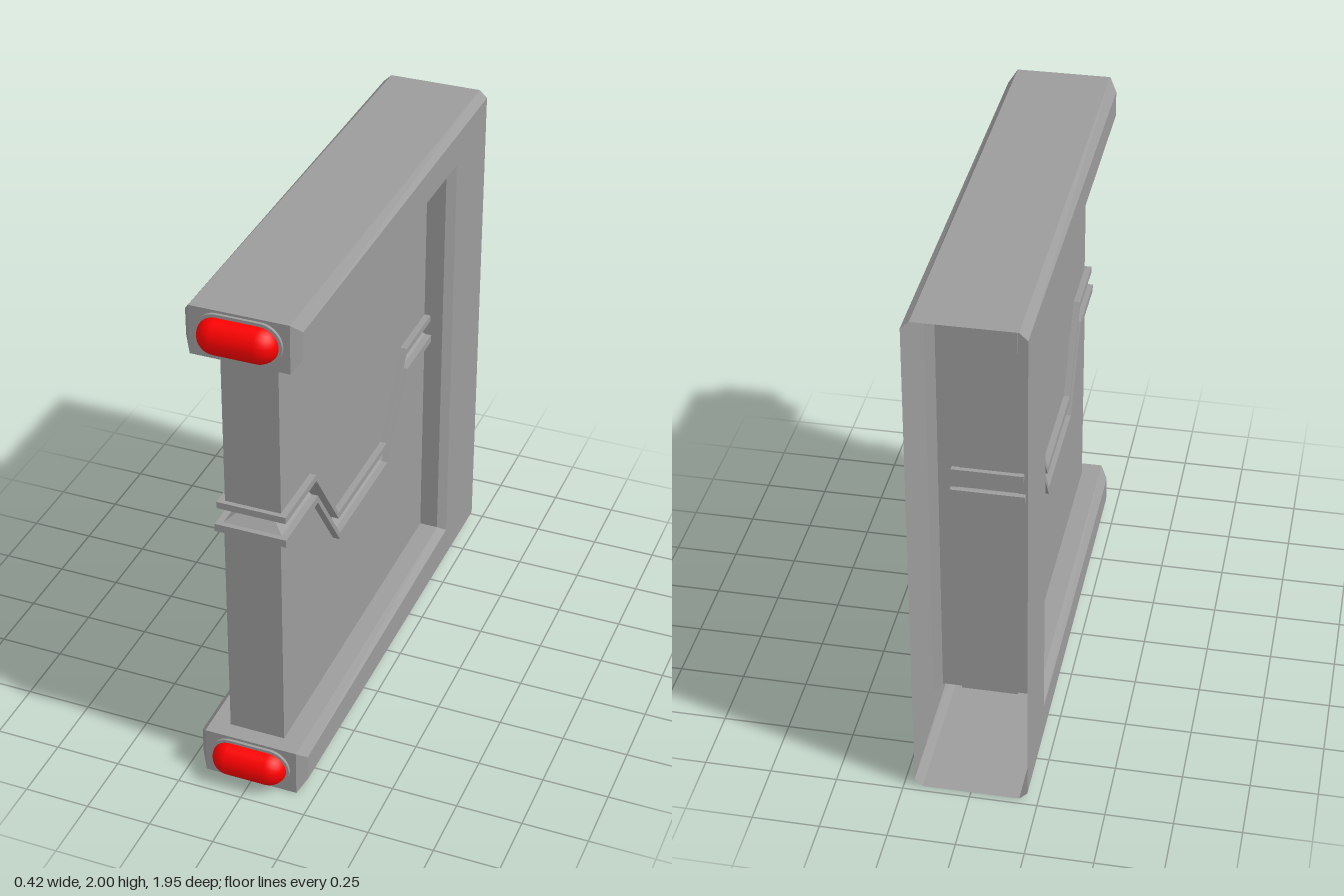
import * as THREE from 'three';

const GREY = 0x9c9c9c;

// Flat-shaded mesh from a list of triangle corners
function facetMesh(name, points) {
  const geo = new THREE.BufferGeometry().setFromPoints(points);
  geo.computeVertexNormals();
  const mesh = new THREE.Mesh(geo,
    new THREE.MeshStandardMaterial({ color: GREY, flatShading: true, side: THREE.DoubleSide }));
  mesh.name = name;
  return mesh;
}

// Joins successive rings of equal length with quads; closed rings wrap around
function skin(rings, closed) {
  const out = [];
  for (let r = 0; r + 1 < rings.length; r++) {
    const lo = rings[r], hi = rings[r + 1], n = lo.length;
    for (let i = 0; i < (closed ? n : n - 1); i++) {
      const j = (i + 1) % n;
      out.push(lo[i], lo[j], hi[j], lo[i], hi[j], hi[i]);
    }
  }
  return out;
}

// C-shaped hollow frame, bevelled along its sides and open at the back
function makeFrame() {
  // [-z, y] outlines: full at the bevel's inner edge, inset on the side faces
  const full = [[0.975, 2], [-0.902, 2], [-0.902, 1.815], [0.61, 1.815],
    [0.61, 0.187], [-0.902, 0.187], [-0.902, 0], [0.975, 0]];
  const inset = [[0.975, 1.972], [-0.862, 1.96], [-0.862, 1.858], [0.64, 1.845],
    [0.64, 0.161], [-0.862, 0.15], [-0.862, 0.045], [0.975, 0.03]];
  const ring = (outline, x) => outline.map(([u, y]) => new THREE.Vector3(x, y, -u));
  const rings = [ring(inset, -0.21), ring(full, -0.18), ring(full, 0.18), ring(inset, 0.21)];
  const points = skin(rings, false);
  const faces = THREE.ShapeUtils.triangulateShape(inset.map(([u, y]) => new THREE.Vector2(u, y)), []);
  for (const [a, b, c] of faces) {
    points.push(rings[3][a], rings[3][b], rings[3][c]);
    points.push(rings[0][a], rings[0][c], rings[0][b]);
  }
  return facetMesh('frame', points);
}

// Dip followed by the split between the two door panels: inner [z, drop]
const DIP = [[0.565, 0], [0.355, 0.303], [-0.137, 0.303], [-0.343, 0]];

// Horizontal ring around the door; dip = 1 follows the split, 0 stays level
function doorRing([y, halfX, front, back, dip]) {
  const path = [[front, 0], ...DIP, [back, 0]];
  const side = (x) => path.map(([z, drop]) => new THREE.Vector3(x, y - drop * dip, z));
  return [...side(halfX), ...side(-halfX).reverse()];
}

function makeDoor() {
  const door = new THREE.Group();
  door.name = 'door';
  // y, half width, front z, back z, dip
  const layers = [
    [0.18, 0.107, 0.837, -0.612, 0],
    [1.072, 0.107, 0.837, -0.612, 1],
    [1.072, 0.135, 0.855, -0.63, 1],
    [1.102, 0.135, 0.855, -0.63, 1],
    [1.102, 0.11, 0.835, -0.612, 1],
    [1.135, 0.07, 0.80, -0.58, 1],
    [1.164, 0.105, 0.83, -0.612, 1],
    [1.164, 0.13, 0.845, -0.63, 1],
    [1.19, 0.13, 0.845, -0.63, 1],
    [1.19, 0.105, 0.827, -0.612, 1],
    [1.82, 0.105, 0.827, -0.612, 0],
  ].map(doorRing);
  const parts = { lowerPanel: [0, 1], lowerTrim: [1, 4], groove: [4, 6], upperTrim: [6, 9], upperPanel: [9, 10] };
  for (const [name, [from, to]] of Object.entries(parts)) {
    door.add(facetMesh(name, skin(layers.slice(from, to + 1), true)));
  }
  return door;
}

// Red rounded lamp with a thin rim on the end of a frame arm
function makeLamp(name, y) {
  const lamp = new THREE.Group();
  lamp.name = name;
  const r = 0.079, h = 0.077;
  const outline = new THREE.Shape();
  outline.absarc(h, 0, r, -Math.PI / 2, Math.PI / 2);
  outline.absarc(-h, 0, r, Math.PI / 2, Math.PI * 1.5);
  const rim = new THREE.Mesh(
    new THREE.ExtrudeGeometry(outline, { depth: 0.013, bevelEnabled: false, curveSegments: 16 }),
    new THREE.MeshStandardMaterial({ color: GREY }));
  rim.name = 'lampRim';
  rim.position.z = 0.9;
  const bulb = new THREE.Mesh(
    new THREE.CapsuleGeometry(0.068, h * 2, 10, 24),
    new THREE.MeshStandardMaterial({ color: 0xff0000 }));
  bulb.name = 'lampBulb';
  bulb.rotation.z = Math.PI / 2;
  bulb.position.z = 0.907;
  lamp.add(rim, bulb);
  lamp.position.y = y;
  return lamp;
}

export function createModel() {
  const model = new THREE.Group();
  model.name = 'slidingDoorFrame';
  model.add(makeFrame(), makeDoor(), makeLamp('upperLamp', 1.912), makeLamp('lowerLamp', 0.098));
  return model;
}
